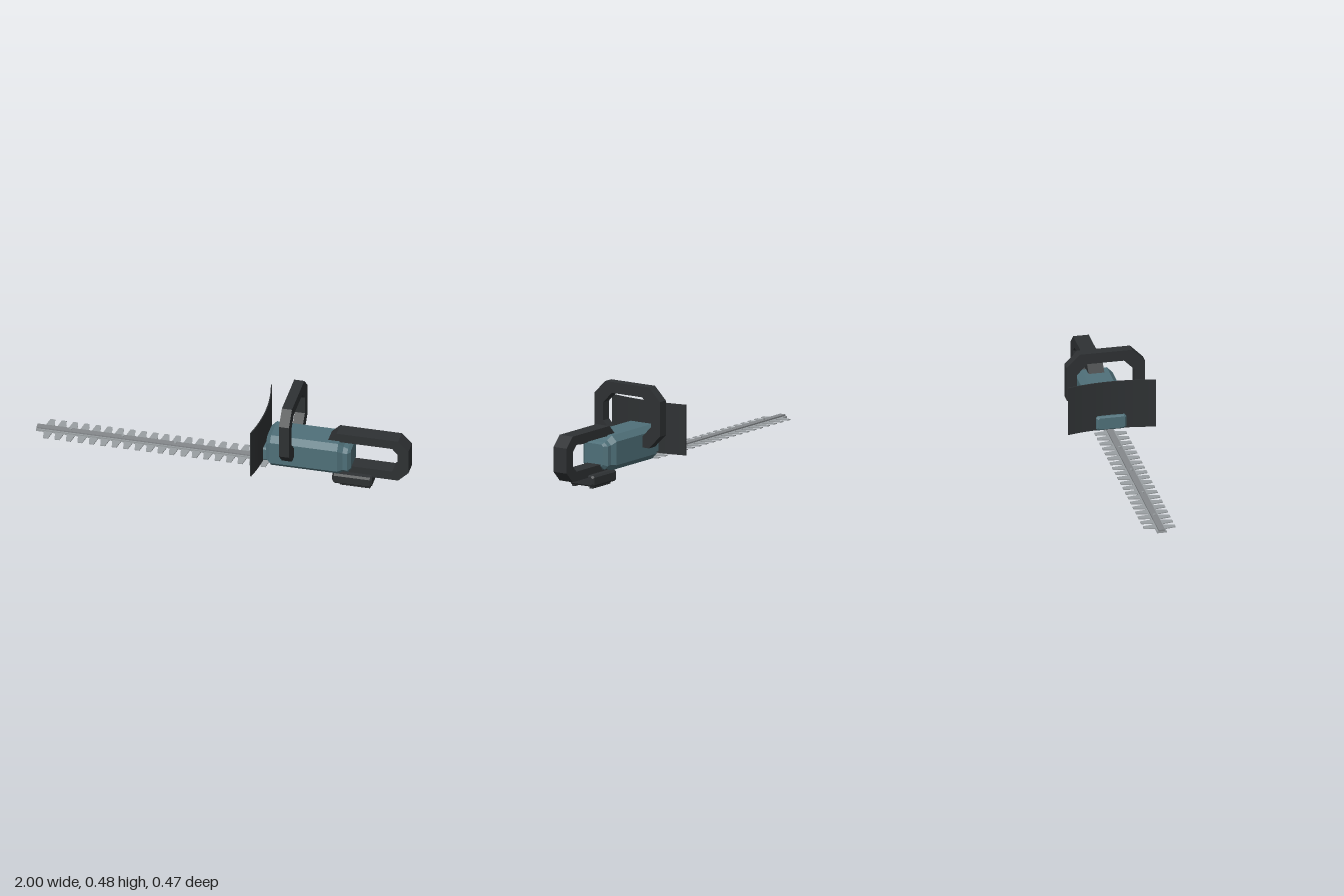
import * as THREE from 'three';

const mat = (color, side = THREE.FrontSide) =>
  new THREE.MeshStandardMaterial({ color, flatShading: true, side });
const TEAL = mat(0x4f7079);
const DARK = mat(0x2e3133);
const STEEL = mat(0x9a9fa2);
const BAR = mat(0x85898c);

// Bevelled solid along x from sections [x, halfWidth, yBottom, yTop, chamfer]
function loft(sections) {
  const rings = sections.map(([x, w, y0, y1, c]) => [
    [y0, -w + c], [y0, w - c], [y0 + c, w], [y1 - c, w],
    [y1, w - c], [y1, -w + c], [y1 - c, -w], [y0 + c, -w],
  ].map(([y, z]) => [x, y, z]));
  const pos = [];
  const tri = (a, b, c) => pos.push(...a, ...b, ...c);
  for (let s = 0; s < rings.length - 1; s++) {
    for (let i = 0; i < 8; i++) {
      const j = (i + 1) % 8;
      const a = rings[s][i], b = rings[s][j], c = rings[s + 1][j], d = rings[s + 1][i];
      tri(a, c, b);
      tri(a, d, c);
    }
  }
  const first = rings[0], last = rings[rings.length - 1];
  for (let i = 1; i < 7; i++) {
    tri(first[0], first[i], first[i + 1]);
    tri(last[0], last[i + 1], last[i]);
  }
  const g = new THREE.BufferGeometry();
  g.setAttribute('position', new THREE.Float32BufferAttribute(pos, 3));
  g.computeVertexNormals();
  return g;
}

const points = (list) => list.map(([x, y]) => new THREE.Vector2(x, y));

// Flat outline with an optional hole, extruded and centred on its thickness
function plate(outline, depth, hole) {
  const shape = new THREE.Shape(points(outline));
  if (hole) shape.holes.push(new THREE.Path(points(hole)));
  return new THREE.ExtrudeGeometry(shape, { depth, bevelEnabled: false })
    .translate(0, 0, -depth / 2);
}

// Octagon outline with 45 degree corners
const octagon = (x0, x1, y0, y1, c) => [
  [x0 + c, y0], [x1 - c, y0], [x1, y0 + c], [x1, y1 - c],
  [x1 - c, y1], [x0 + c, y1], [x0, y1 - c], [x0, y0 + c],
];

export function createModel() {
  const model = new THREE.Group();
  model.name = 'hedgeTrimmer';
  const add = (name, geometry, material, x = 0, y = 0, z = 0) => {
    const mesh = new THREE.Mesh(geometry, material);
    mesh.name = name;
    mesh.position.set(x, y, z);
    model.add(mesh);
    return mesh;
  };

  // Motor housing with stepped rear end, and the nose behind the guard
  add('housing', loft([
    [0.245, 0.08, 0.085, 0.235, 0.03],
    [0.27, 0.098, 0.07, 0.255, 0.03],
    [0.63, 0.098, 0.07, 0.255, 0.03],
    [0.655, 0.08, 0.08, 0.232, 0.025],
    [0.68, 0.077, 0.08, 0.225, 0.02],
    [0.695, 0.057, 0.098, 0.215, 0.01],
  ]), TEAL);
  add('nose', loft([
    [0.205, 0.07, 0.105, 0.168, 0.008],
    [0.215, 0.08, 0.098, 0.175, 0.008],
    [0.27, 0.08, 0.098, 0.175, 0.008],
  ]), TEAL);

  // Curved hand guard, bowed away from the blade tip at its middle
  const arc = (offset) => Array.from({ length: 13 }, (_, i) => {
    const z = -0.235 + (0.47 * i) / 12;
    return [0.226 + offset - 0.029 * (z / 0.235) ** 2, -z];
  });
  const guard = plate([...arc(0), ...arc(0.006).reverse()], 0.27);
  guard.rotateX(-Math.PI / 2);
  add('handGuard', guard, mat(0x2e3133, THREE.DoubleSide), 0, 0.23, 0);

  // Front loop handle straddling the housing
  const loop = plate(
    octagon(-0.21, 0.21, 0.155, 0.48, 0.07), 0.054,
    octagon(-0.153, 0.153, 0.213, 0.422, 0.056));
  loop.rotateY(Math.PI / 2);
  add('frontHandle', loop, DARK, 0.372, 0, 0);

  // Rear D-shaped grip
  add('rearHandle', plate(
    [[0.62, 0.057], [0.945, 0.057], [1, 0.112], [1, 0.245], [0.945, 0.3],
      [0.615, 0.3], [0.565, 0.25], [0.565, 0.112]], 0.084,
    [[0.64, 0.108], [0.912, 0.108], [0.942, 0.138], [0.942, 0.218],
      [0.912, 0.25], [0.64, 0.25], [0.62, 0.23], [0.62, 0.128]]), DARK);
  add('trigger', plate(
    [[0.775, 0.255], [0.785, 0.239], [0.85, 0.239], [0.86, 0.255]], 0.045), DARK);

  // Battery pack under the rear end, on two runners
  add('battery', loft([
    [0.598, 0.07, 0.018, 0.064, 0.01],
    [0.608, 0.079, 0.01, 0.07, 0.01],
    [0.8, 0.079, 0.01, 0.07, 0.01],
    [0.81, 0.07, 0.018, 0.064, 0.01],
  ]), DARK);
  for (const side of [-1, 1]) {
    add('batteryRunner', loft([
      [0.64, 0.011, 0, 0.014, 0.003],
      [0.8, 0.011, 0, 0.014, 0.003],
    ]), DARK, 0, 0, side * 0.056);
  }

  // Guide bar with rivets
  add('guideBar', new THREE.BoxGeometry(1.32, 0.008, 0.034), BAR, -0.34, 0.075, 0);
  for (let i = 0; i < 4; i++) {
    add('rivet', new THREE.CylinderGeometry(0.007, 0.007, 0.008, 8), STEEL,
      -0.82 + i * 0.28, 0.082, 0);
  }

  // Two toothed blades: the lower cuts to the left, the upper to the right
  for (const side of [-1, 1]) {
    const outline = [[-1, 0], [-1, 0.027]];
    for (let i = 0; i < 20; i++) {
      const x = -0.935 + i * 0.0613;
      outline.push([x - 0.023, 0.027], [x - 0.013, 0.085],
        [x + 0.013, 0.085], [x + 0.023, 0.027]);
    }
    outline.push([0.32, 0.027], [0.32, 0]);
    const blade = plate(outline.map(([x, z]) => [x, -side * z]), 0.005);
    blade.rotateX(-Math.PI / 2);
    add(side > 0 ? 'lowerBlade' : 'upperBlade', blade, STEEL,
      0, side > 0 ? 0.063 : 0.069, 0);
  }
  // Spine joining both blades
  add('bladeSpine', new THREE.BoxGeometry(1.32, 0.011, 0.05), STEEL, -0.34, 0.066, 0);

  return model;
}
